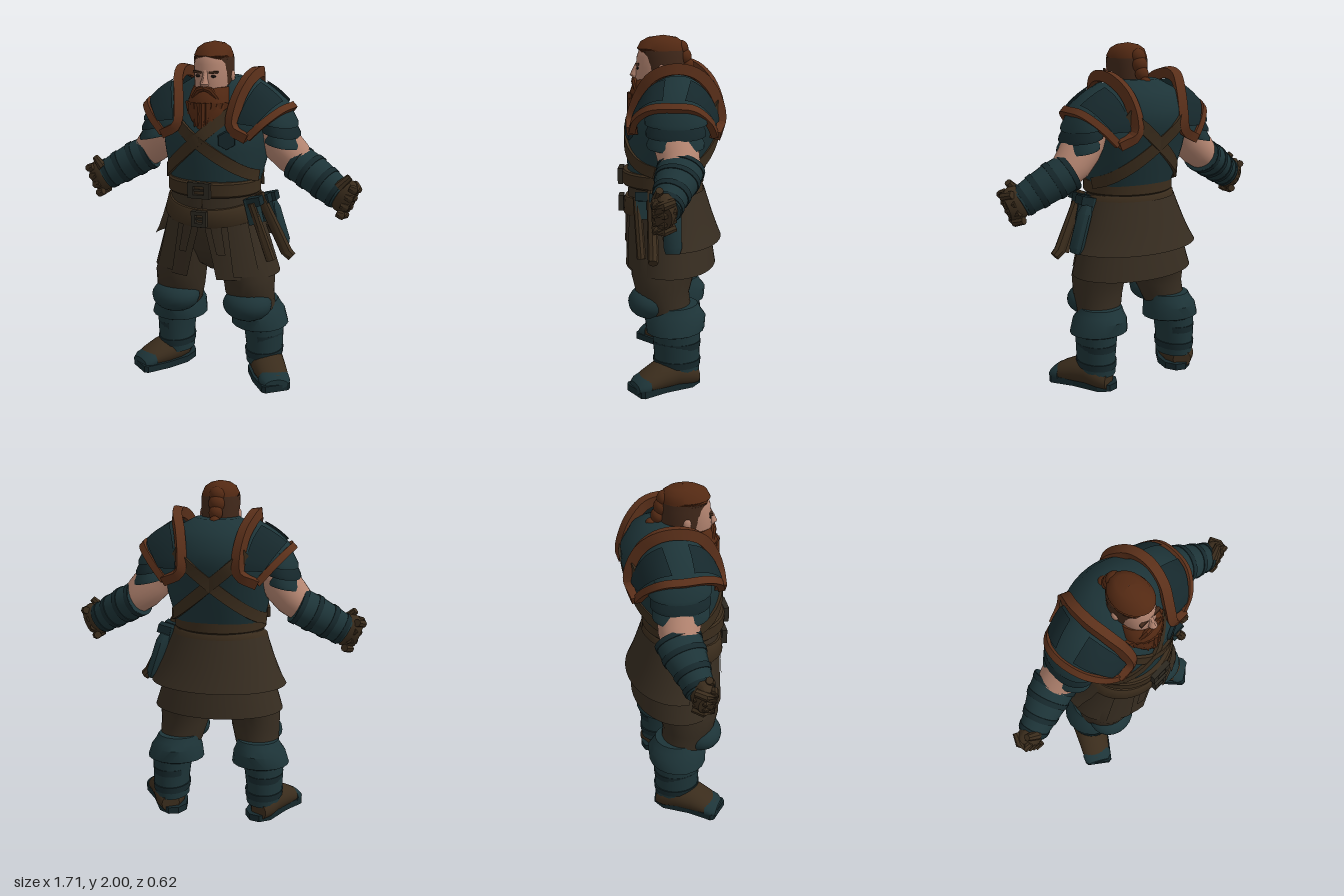
import * as THREE from 'three';
import { toCreasedNormals } from 'three/addons/utils/BufferGeometryUtils.js';

const V = (x, y, z) => new THREE.Vector3(x, y, z);
const UP = V(0, 1, 0);
const mat = (name, color) => Object.assign(new THREE.MeshStandardMaterial({ color, side: THREE.DoubleSide }), { name });

function buildGeometry(pos, idx, crease = 0.7) {
  const g = new THREE.BufferGeometry();
  g.setAttribute('position', new THREE.Float32BufferAttribute(pos, 3));
  g.setIndex(idx);
  return toCreasedNormals(g, crease);
}

// Skin over elliptical rings [x, y, z, radiusAcross, radiusDepth, startAngle?, endAngle?]
function loft(rings, { seg = 24, axis } = {}) {
  const pos = [], idx = [], n = rings.length, w = seg + 1;
  const open = rings[0][5] !== undefined;
  const c = rings.map(r => V(r[0], r[1], r[2]));
  rings.forEach((r, k) => {
    const T = axis ? axis.clone().normalize() : c[Math.min(k + 1, n - 1)].clone().sub(c[Math.max(k - 1, 0)]).normalize();
    const B = Math.abs(T.z) > 0.75 ? V(0, 1, 0) : V(0, 0, 1);
    B.addScaledVector(T, -B.dot(T)).normalize();
    const A = T.clone().cross(B);
    const a0 = r[5] ?? 0, a1 = r[6] ?? Math.PI * 2 - a0;
    for (let i = 0; i < w; i++) {
      const a = a0 + (a1 - a0) * i / seg;
      const p = c[k].clone().addScaledVector(A, r[3] * Math.sin(a)).addScaledVector(B, r[4] * Math.cos(a));
      pos.push(p.x, p.y, p.z);
    }
  });
  for (let k = 0; k < n - 1; k++) for (let i = 0; i < seg; i++) {
    const a = k * w + i, b = a + w;
    idx.push(a, a + 1, b + 1, a, b + 1, b);
  }
  if (!open) {
    const s = n * w, top = (n - 1) * w;
    pos.push(...c[0].toArray(), ...c[n - 1].toArray());
    for (let i = 0; i < seg; i++) idx.push(s, i + 1, i, s + 1, top + i, top + i + 1);
  }
  return buildGeometry(pos, idx);
}
// Upright loft from rows [y, centreX, centreZ, radiusX, radiusZ, ...angles]
const upright = (rows, seg) => loft(rows.map(([y, x, z, ...r]) => [x, y, z, ...r]), { seg, axis: UP });
const rod = (a, b, r1, r2, seg = 8) => loft([[...a, r1, r1], [...b, r2, r2]], { seg });

// Flat strip of width w and thickness t along points with outward normals
function band(pts, normals, w, t) {
  const pos = [], idx = [], n = pts.length;
  pts.forEach((p, k) => {
    const T = pts[Math.min(k + 1, n - 1)].clone().sub(pts[Math.max(k - 1, 0)]).normalize();
    const S = T.clone().cross(normals[k]).normalize();
    const N = S.clone().cross(T);
    for (const [u, v] of [[-1, -1], [1, -1], [1, 1], [-1, 1]]) {
      const q = p.clone().addScaledVector(S, u * w / 2).addScaledVector(N, v * t / 2);
      pos.push(q.x, q.y, q.z);
    }
  });
  for (let k = 0; k < n - 1; k++) for (let i = 0; i < 4; i++) {
    const a = k * 4 + i, b = k * 4 + (i + 1) % 4;
    idx.push(a, b + 4, b, a, a + 4, b + 4);
  }
  const e = (n - 1) * 4;
  idx.push(0, 1, 2, 0, 2, 3, e, e + 2, e + 1, e, e + 3, e + 2);
  return buildGeometry(pos, idx, 0.6);
}

const ball = (x, y, z, rx, ry, rz) => new THREE.SphereGeometry(1, 20, 12).scale(rx, ry, rz).translate(x, y, z);
const box = (x, y, z, w, h, d, rz = 0) => new THREE.BoxGeometry(w, h, d).rotateZ(rz).translate(x, y, z);

// Mirror across x, restoring the winding
function flip(geo) {
  const g = geo.index ? geo.toNonIndexed() : geo.clone();
  g.scale(-1, 1, 1);
  for (const a of Object.values(g.attributes)) {
    const s = a.itemSize;
    for (let i = 0; i < a.count; i += 3) for (let j = 0; j < s; j++) {
      const p = (i + 1) * s + j, q = p + s;
      [a.array[p], a.array[q]] = [a.array[q], a.array[p]];
    }
  }
  return g;
}

export function createModel() {
  const root = new THREE.Group();
  root.name = 'bearded warrior';
  const teal = mat('teal armour', 0x1d3438), dark = mat('dark teal', 0x16282c), cloth = mat('brown cloth', 0x362c20);
  const leather = mat('leather', 0x3a2c1c), trim = mat('copper trim', 0x5b301a), hair = mat('red hair', 0x532913);
  const shaved = mat('shaved hair', 0x41281a), skin = mat('skin', 0xb38470), eye = mat('eye', 0x1c1512), metal = mat('buckle metal', 0x2c2820);
  const add = (name, m, geo) => { const o = new THREE.Mesh(geo, m); o.name = name; root.add(o); };
  const pair = (name, m, geo) => { add('left ' + name, m, geo); add('right ' + name, m, flip(geo)); };

  // Torso
  const torso = [[1.16, 0, .035, .255, .21], [1.3, 0, .015, .288, .24], [1.4, 0, 0, .312, .254], [1.49, 0, -.014, .322, .266], [1.55, 0, -.04, .325, .262],
    [1.64, 0, -.065, .31, .238], [1.74, 0, -.065, .24, .185], [1.8, 0, -.035, .13, .12]];
  add('cuirass', teal, upright(torso, 40));

  // Crossed straps laid on the torso
  const strap = (x0, y0, x1, y1, side) => {
    const pts = [], nor = [];
    for (let i = 0; i <= 16; i++) {
      const x = x0 + (x1 - x0) * i / 16, y = y0 + (y1 - y0) * i / 16;
      const k = torso.findIndex(r => r[0] > y), a = torso[k - 1], b = torso[k], f = (y - a[0]) / (b[0] - a[0]);
      const [cz, rx, rz] = [2, 3, 4].map(j => a[j] + (b[j] - a[j]) * f);
      const dz = side * rz * Math.sqrt(Math.max(0.02, 1 - (x / rx) ** 2));
      const n = V(x / rx ** 2, 0, dz / rz ** 2).normalize();
      pts.push(V(x, y, cz + dz).addScaledVector(n, .006));
      nor.push(n);
    }
    return band(pts, nor, .066, .018);
  };
  add('front strap', leather, strap(.15, 1.63, -.28, 1.24, 1));
  add('second front strap', leather, strap(-.19, 1.57, .27, 1.26, 1));
  pair('back strap', leather, strap(.2, 1.63, -.27, 1.22, -1));
  add('chest badge', dark, new THREE.CylinderGeometry(.05, .055, .02, 6).rotateX(Math.PI / 2).rotateY(.35).translate(.14, 1.475, .232));

  // Belts and buckles
  add('upper belt', leather, upright([[1.15, 0, .045, .262, .23], [1.16, 0, .045, .272, .24], [1.228, 0, .045, .272, .24], [1.238, 0, .045, .262, .23]], 40));
  const low = upright([[1.05, 0, .04, .295, .232], [1.06, 0, .04, .3, .238], [1.14, 0, .04, .28, .232], [1.15, 0, .04, .27, .225]], 40);
  const lp = low.attributes.position;
  for (let i = 0; i < lp.count; i++) lp.setY(i, lp.getY(i) - .07 * Math.max(0, lp.getZ(i) / .25));
  add('lower belt', leather, low);
  for (const [y, w] of [[1.195, .13], [1.03, .09]]) {
    const s = new THREE.Shape([[-w / 2, -.045], [w / 2, -.045], [w / 2, .045], [-w / 2, .045]].map(p => new THREE.Vector2(...p)));
    s.holes.push(new THREE.Path([[-w / 4, -.024], [-w / 4, .024], [w / 4, .024], [w / 4, -.024]].map(p => new THREE.Vector2(...p))));
    add('buckle', metal, new THREE.ExtrudeGeometry(s, { depth: .03, bevelEnabled: false }).translate(0, y, .275));
    add('buckle pin', metal, box(0, y, .288, w * .6, .012, .015));
  }

  // Split skirt, flared rear tier and front panels
  add('skirt', cloth, upright([[.67, 0, 0, .385, .268, .24], [.8, 0, .008, .345, .255, .18], [.95, 0, .02, .3, .237, .08],
    [1.08, 0, .03, .27, .222, .01], [1.17, 0, .03, .26, .215, .01]], 48));
  add('rear skirt tier', cloth, upright([[.83, 0, -.012, .405, .288, 1.5], [.88, 0, -.008, .375, .272, 1.45], [.97, 0, .005, .335, .252, 1.35], [1.12, 0, .025, .28, .225, 1.25]], 32));
  pair('skirt panel', cloth, upright([[.69, 0, 0, .393, .277, .5, .95], [.85, 0, .01, .345, .26, .5, .95], [1.07, 0, .03, .283, .232, .5, .95]], 8));
  pair('front flap', cloth, upright([[.82, 0, .01, .352, .264, .27, .42], [.95, 0, .02, .31, .247, .2, .4], [1.06, 0, .03, .285, .233, .15, .4]], 6));
  add('trouser seat', cloth, upright([[.67, 0, .02, .04, .06], [.72, 0, .02, .12, .13], [.82, 0, .02, .22, .18], [1.05, 0, .02, .24, .19]], 28));

  // Items hung from the belt
  add('scabbard', leather, loft([[.29, 1.16, .1, .03, .025], [.45, .83, .08, .036, .032], [.485, .8, .08, .03, .028]], { seg: 8 }));
  add('second scabbard', leather, loft([[.27, 1.12, .18, .024, .024], [.38, .79, .15, .03, .026]], { seg: 8 }));
  add('flask', teal, loft([[.32, 1.1, -.02, .03, .03], [.34, 1.05, -.02, .04, .05], [.4, .86, -.025, .04, .05], [.41, .83, -.025, .025, .04]], { seg: 10 }));
  for (const z of [.15, .07, 0]) {
    add('belt pouch', teal, box(.32 - z * .3, 1.07, z, .07, .15, .065, .25));
    add('pouch flap', dark, box(.327 - z * .3, 1.125, z, .08, .05, .075, .25));
  }

  // Legs
  pair('trouser leg', cloth, upright([[.3, .28, -.03, .1, .12], [.45, .235, .005, .13, .13], [.55, .22, .04, .145, .155], [.65, .215, .04, .15, .18],
    [.8, .17, .02, .16, .2], [.95, .14, .02, .13, .19]]));
  pair('knee guard', teal, ball(.228, .49, .11, .146, .098, .13));
  const cuff = upright([[.325, .262, -.035, .15, .15], [.335, .262, -.035, .172, .17], [.41, .255, -.035, .155, .176], [.445, .25, -.035, .135, .15], [.48, .245, -.035, .122, .13]], 18);
  const cp = cuff.attributes.position;
  for (let i = 0; i < cp.count; i++) cp.setY(i, cp.getY(i) - .05 * cp.getZ(i));
  pair('boot cuff', teal, cuff);
  pair('boot shaft', teal, upright([[.09, .288, -.045, .105, .13], [.2, .29, -.045, .11, .133], [.36, .282, -.04, .122, .14]]));
  for (const y of [.15, .26]) pair('boot strap', dark, upright([[y - .02, .288, -.045, .111, .136], [y + .02, .288, -.045, .115, .139]]));
  const footAxis = V(.5, 0, .86);
  pair('boot foot', leather, loft([[.272, .06, -.155, .055, .055], [.285, .08, -.1, .095, .08], [.31, .09, -.02, .105, .09], [.355, .08, .06, .1, .08], [.4, .065, .125, .09, .06], [.432, .05, .172, .07, .04]], { axis: footAxis }));
  pair('toe cap', teal, loft([[.405, .055, .135, .094, .058], [.425, .05, .165, .09, .048], [.442, .042, .19, .068, .03]], { axis: footAxis }));
  const outline = [[.185, -.1], [.22, -.165], [.28, -.182], [.345, -.14], [.42, .01], [.503, .125], [.5, .15], [.39, .238], [.365, .235], [.27, .12], [.2, .0]];
  const sole = new THREE.Shape(outline.map(([x, z]) => new THREE.Vector2(x, -z)));
  pair('sole', dark, new THREE.ExtrudeGeometry(sole, { depth: .04, bevelEnabled: false }).rotateX(-Math.PI / 2));

  // Shoulder guards: plate sunk between two raised rim curves
  const curve = a => new THREE.CatmullRomCurve3(a.map(p => V(...p)));
  const inner = curve([[.25, 1.49, .205], [.168, 1.54, .208], [.17, 1.66, .17], [.205, 1.78, .09], [.225, 1.825, -.02], [.215, 1.81, -.13],
    [.18, 1.73, -.22], [.16, 1.6, -.275], [.17, 1.52, -.278], [.26, 1.47, -.255]]);
  const outer = curve([[.25, 1.49, .205], [.33, 1.57, .175], [.4, 1.63, .09], [.425, 1.64, -.03], [.41, 1.63, -.13], [.34, 1.56, -.215], [.26, 1.47, -.255]]);
  const plate = (u0, u1, t0, t1, lift) => {
    const pos = [], idx = [], nu = 24, nt = 8;
    for (let i = 0; i <= nu; i++) for (let j = 0; j <= nt; j++) {
      const u = u0 + (u1 - u0) * i / nu, t = t0 + (t1 - t0) * j / nt;
      const p = inner.getPointAt(u).lerp(outer.getPointAt(u), t);
      const d = p.clone().sub(V(.25, 1.5, -.03)).normalize();
      p.addScaledVector(d, (.018 * Math.sin(Math.PI * t) - .035 * (1 - t)) * Math.sin(Math.PI * u) + lift);
      pos.push(p.x, p.y, p.z);
      if (i < nu && j < nt) { const a = i * (nt + 1) + j, b = a + nt + 1; idx.push(a, a + 1, b + 1, a, b + 1, b); }
    }
    return buildGeometry(pos, idx);
  };
  pair('shoulder plate', teal, plate(0, 1, 0, 1, 0));
  pair('front shoulder ornament', dark, plate(.12, .43, .22, .85, .014));
  pair('rear shoulder ornament', dark, plate(.57, .88, .22, .85, .014));
  const rim = (c, w, t) => {
    const pts = c.getSpacedPoints(36);
    return band(pts, pts.map(p => p.clone().sub(V(.27, 1.5, -.03)).normalize()), w, t);
  };
  pair('inner shoulder rim', trim, rim(inner, .052, .06));
  pair('outer shoulder rim', trim, rim(outer, .04, .036));
  for (let i = 0; i < 3; i++) {
    const x = .345 + .017 * i, y = 1.63 - .06 * i, r = .17 - .007 * i;
    pair('shoulder lame', i === 1 ? dark : teal, loft([[x, y, -.04, .085, r - .03], [x + .008, y - .06, -.04, .11, r], [x + .01, y - .08, -.04, .11, r]], { axis: V(-.2, -1, 0) }));
  }

  // Arms and gloves
  pair('upper arm', skin, loft([[.31, 1.52, -.04, .1, .12], [.38, 1.42, -.045, .112, .12], [.44, 1.355, -.06, .106, .113], [.5, 1.3, -.06, .088, .1]]));
  const sleeve = [[.46, 1.322, -.07, .102, .127], [.55, 1.275, -.05, .104, .12], [.65, 1.215, -.02, .097, .094], [.735, 1.165, 0, .087, .077]];
  pair('bracer', teal, loft(sleeve));
  for (const f of [.15, 1, 1.9, 2.75]) {
    const at = g => { const k = Math.min(2, Math.floor(g)); return sleeve[k].map((v, j) => v + (sleeve[k + 1][j] - v) * (g - k) + (j > 2 ? .005 : 0)); };
    pair('bracer strap', dark, loft([at(f - .14), at(f + .14)]));
  }
  pair('glove', leather, loft([[.7, 1.185, 0, .07, .055], [.735, 1.172, .003, .095, .065], [.775, 1.16, .008, .1, .062], [.815, 1.145, .012, .075, .045]], { seg: 14 }));
  for (let i = 0; i < 4; i++) {
    const k = i - 1.5, x = .77 + k * .022, y = 1.15 + k * .05;
    pair('finger', leather, loft([[x - .01, y, .055, .02, .02], [x + .02, y - .012, .05, .026, .026], [x + .028, y - .016, .01, .026, .026], [x, y, -.045, .022, .022]], { seg: 8 }));
  }
  pair('thumb', leather, rod([.73, 1.22, .045], [.79, 1.28, .03], .03, .02));

  // Head and face
  add('head', skin, upright([[1.62, 0, .04, .08, .08], [1.7, 0, .085, .085, .1], [1.76, 0, .09, .093, .112], [1.82, 0, .085, .099, .11],
    [1.88, 0, .08, .1, .112], [1.93, 0, .07, .093, .105], [1.97, 0, .06, .06, .08]], 28));
  add('nose', skin, upright([[1.758, 0, .195, .02, .02], [1.775, 0, .203, .025, .03], [1.81, 0, .195, .015, .022], [1.85, 0, .185, .013, .01]], 10));
  pair('ear', skin, ball(.107, 1.81, .045, .014, .032, .022));
  pair('eye', eye, ball(.042, 1.817, .184, .018, .008, .006));
  pair('eyebrow', shaved, box(.046, 1.838, .185, .052, .013, .018, .12));

  // Shaved sides, top hair, tied tail, beard
  add('shaved sides', shaved, upright([[1.66, 0, .03, .1, .11, 1.2], [1.8, 0, .045, .108, .127, 1.12], [1.88, 0, .05, .111, .135, 1.0], [1.915, 0, .055, .109, .137, .75]], 32));
  add('top hair', hair, upright([[1.905, 0, .055, .109, .137, .75], [1.925, 0, .055, .107, .136, 0], [1.965, 0, .05, .089, .119, 0],
    [1.988, 0, .045, .055, .08, 0], [2, 0, .04, .001, .001, 0]], 32));
  [[1.925, -.062, .04], [1.88, -.078, .042], [1.83, -.1, .036], [1.78, -.135, .032], [1.74, -.165, .024]].forEach(([y, z, r]) => add('tied tail', hair, ball(0, y, z, r * 1.1, r * 1.15, r)));
  add('beard', hair, upright([[1.53, 0, .225, .03, .02], [1.57, 0, .195, .078, .048], [1.62, 0, .16, .115, .085], [1.68, 0, .13, .12, .104], [1.73, 0, .106, .11, .11], [1.755, 0, .09, .103, .102]], 18));
  for (let i = -4; i <= 4; i++) {
    const x = i * .026, z = .24 - .0042 * i * i;
    add('beard lock', hair, rod([x, 1.67, z - .02], [x * .95, 1.515 + .012 * Math.abs(i) + (i & 1) * .02, z + .008], .03, .003, 6));
  }
  pair('moustache', hair, loft([[0, 1.752, .208, .015, .015], [.035, 1.742, .205, .019, .018], [.07, 1.7, .192, .015, .015], [.08, 1.65, .185, .004, .004]], { seg: 8 }));
  return root;
}
